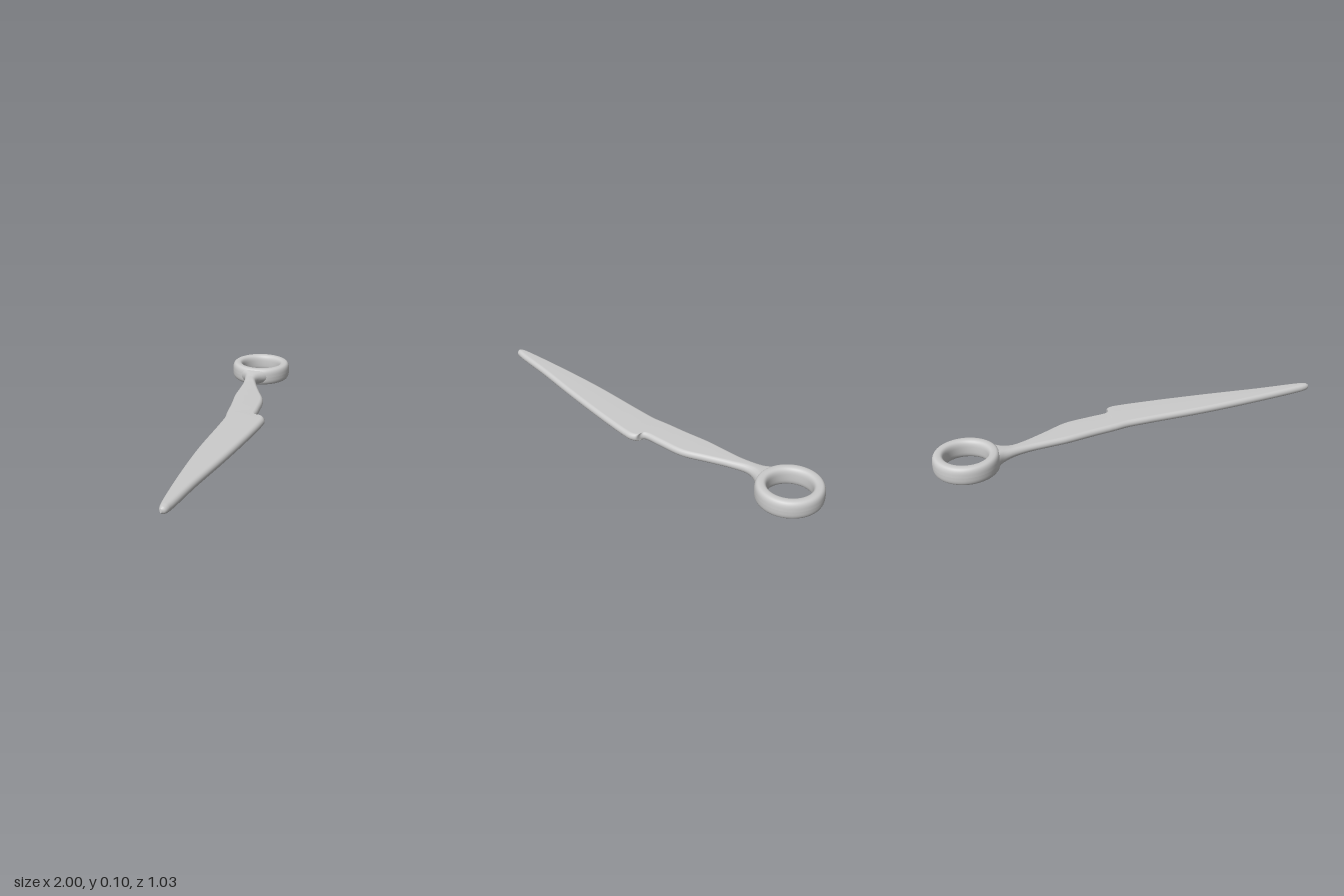
import * as THREE from 'three';

// Stations along the blade and shank: [spine x, spine z, edge x, edge z, thickness, mid height]
const STATIONS = [
  [-1.0, 0.484, -1.0, 0.496, 0.02, 0.056],
  [-0.99, 0.472, -0.985, 0.508, 0.037, 0.056],
  [-0.96, 0.452, -0.96, 0.508, 0.043, 0.056],
  [-0.7, 0.322, -0.7, 0.437, 0.043, 0.056],
  [-0.4, 0.187, -0.4, 0.362, 0.043, 0.056],
  [-0.1, 0.07, -0.1, 0.28, 0.043, 0.056],
  [0.02, 0.02, 0.08, 0.225, 0.043, 0.056],
  [0.06, -0.003, 0.125, 0.206, 0.043, 0.056],
  [0.08, -0.015, 0.146, 0.18, 0.043, 0.056],
  [0.1, -0.026, 0.138, 0.152, 0.043, 0.056],
  [0.12, -0.037, 0.148, 0.133, 0.043, 0.056],
  [0.2, -0.08, 0.23, 0.09, 0.043, 0.056],
  [0.33, -0.155, 0.36, 0.02, 0.042, 0.056],
  [0.42, -0.197, 0.45, -0.07, 0.042, 0.056],
  [0.52, -0.245, 0.545, -0.165, 0.043, 0.056],
  [0.6, -0.295, 0.615, -0.222, 0.052, 0.055],
  [0.645, -0.335, 0.665, -0.232, 0.07, 0.052],
  [0.675, -0.4, 0.74, -0.215, 0.084, 0.05],
];

// Loft of rounded flat sections running from the spine to the cutting edge
function bladeGeometry(rows = 102, arc = 8) {
  const curve = (f) => new THREE.CatmullRomCurve3(STATIONS.map(f), false, 'centripetal');
  const spine = curve((s) => new THREE.Vector3(s[0], s[5], s[1]));
  const edge = curve((s) => new THREE.Vector3(s[2], s[5], s[3]));
  const positions = [], index = [];
  const n = 2 * (arc + 1);
  for (let i = 0; i <= rows; i++) {
    const t = i / rows;
    const a = spine.getPoint(t), b = edge.getPoint(t);
    const k = Math.min(Math.floor(t * (STATIONS.length - 1)), STATIONS.length - 2);
    const h = THREE.MathUtils.lerp(STATIONS[k][4], STATIONS[k + 1][4], t * (STATIONS.length - 1) - k) / 2;
    const dir = b.clone().sub(a);
    const half = dir.length() / 2;
    dir.normalize();
    const mid = a.clone().add(b).multiplyScalar(0.5);
    const r = Math.min(h, half);
    for (let j = 0; j < n; j++) {
      const far = j > arc;
      const angle = -Math.PI / 2 + (Math.PI * (far ? j - 1 : j)) / arc;
      const u = (far ? r - half : half - r) + r * Math.cos(angle);
      positions.push(mid.x + dir.x * u, mid.y + h * Math.sin(angle), mid.z + dir.z * u);
    }
  }
  for (let i = 0; i < rows; i++) {
    for (let j = 0; j < n; j++) {
      const p = i * n + j, q = i * n + ((j + 1) % n);
      index.push(p, p + n, q, q, p + n, q + n);
    }
  }
  // Close the tip; the other end is buried in the ring
  for (let j = 1; j < n - 1; j++) index.push(0, j, j + 1);
  const g = new THREE.BufferGeometry();
  g.setAttribute('position', new THREE.Float32BufferAttribute(positions, 3));
  g.setIndex(index);
  g.computeVertexNormals();
  return g;
}

// Finger ring: a tall band with softly rounded section
function ringGeometry() {
  const profile = [];
  const soft = (v) => Math.sign(v) * Math.abs(v) ** 0.7;
  for (let i = 0; i <= 32; i++) {
    const a = (i / 32) * Math.PI * 2;
    profile.push(new THREE.Vector2(0.14 + 0.03 * soft(Math.cos(a)), 0.049 * soft(Math.sin(a))));
  }
  return new THREE.LatheGeometry(profile, 64);
}

export function createModel() {
  const group = new THREE.Group();
  group.name = 'scissorHalf';
  const material = new THREE.MeshStandardMaterial({ color: 0xcccccc });

  const blade = new THREE.Mesh(bladeGeometry(), material);
  blade.name = 'bladeAndShank';

  const ring = new THREE.Mesh(ringGeometry(), material);
  ring.name = 'fingerRing';
  ring.position.set(0.83, 0.049, -0.347);

  group.add(blade, ring);
  return group;
}
